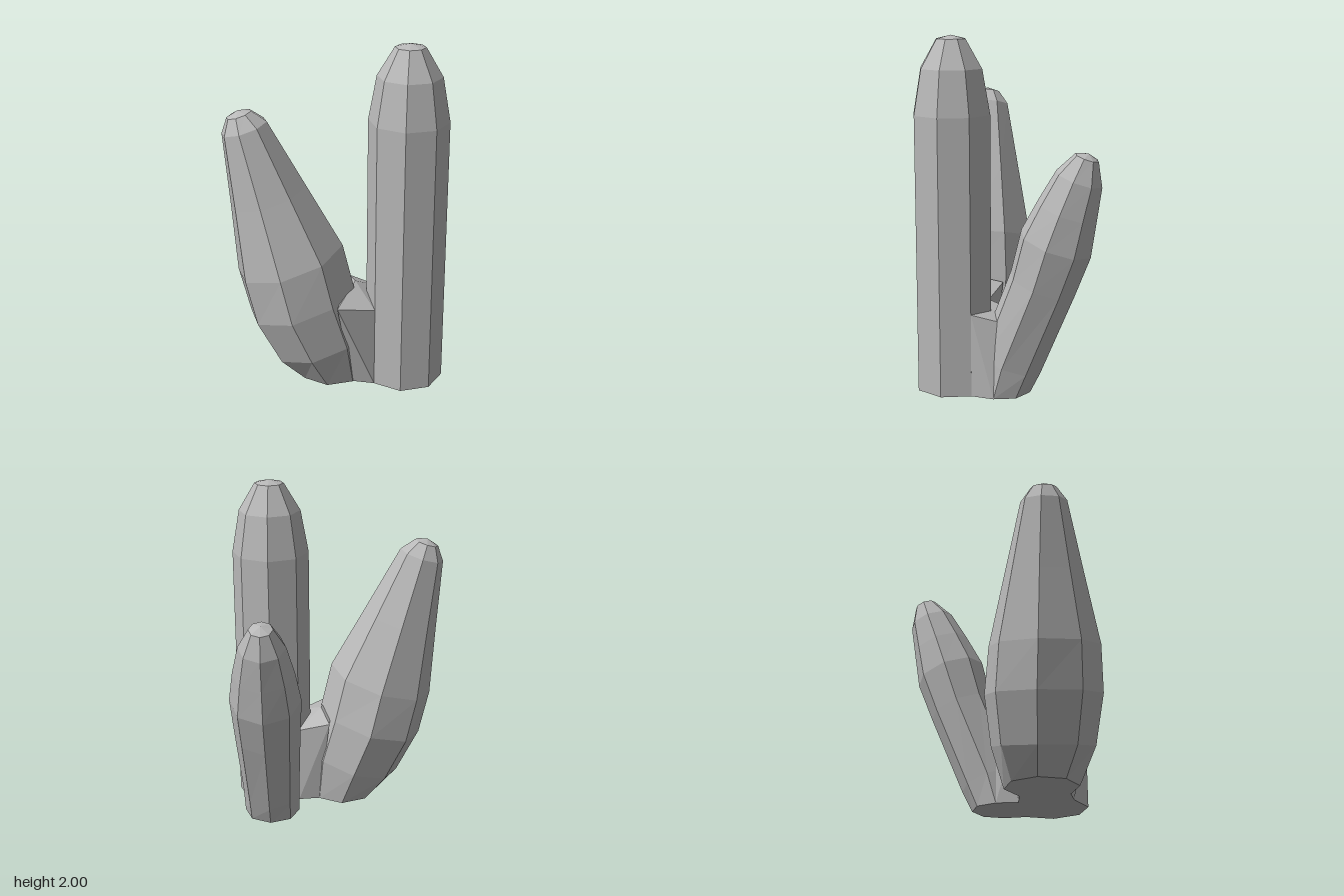
import * as THREE from 'three';
import { ConvexGeometry } from 'three/addons/geometries/ConvexGeometry.js';

const SIDES = 8;

// Eight-sided column lofted through rings [x, y, z, radiusX, radiusZ, tilt].
// slope = rise of a ring per unit of x and z, scaled by each ring's tilt.
function column(name, rings, slope, apex, material) {
  const loops = rings.map(([x, y, z, rx, rz, tilt]) =>
    Array.from({ length: SIDES }, (_, j) => {
      const a = (j / SIDES) * Math.PI * 2;
      const dx = rx * Math.cos(a), dz = rz * Math.sin(a);
      return [x + dx, y + tilt * (slope[0] * dx + slope[1] * dz), z + dz];
    }));
  const base = rings[0].slice(0, 3);
  const top = loops[loops.length - 1];
  const pos = [];
  const tri = (...pts) => pts.forEach((p) => pos.push(...p));
  for (let j = 0; j < SIDES; j++) {
    const k = (j + 1) % SIDES;
    for (let i = 0; i < loops.length - 1; i++) {
      const lo = loops[i], hi = loops[i + 1];
      tri(lo[j], hi[j], lo[k]);
      tri(lo[k], hi[j], hi[k]);
    }
    tri(base, loops[0][j], loops[0][k]);
    tri(apex, top[k], top[j]);
  }
  const geo = new THREE.BufferGeometry();
  geo.setAttribute('position', new THREE.Float32BufferAttribute(pos, 3));
  geo.computeVertexNormals();
  const mesh = new THREE.Mesh(geo, material);
  mesh.name = name;
  return mesh;
}

// Solid web joining two columns
function web(name, points, material) {
  const geo = new ConvexGeometry(points.map((p) => new THREE.Vector3(...p)));
  const mesh = new THREE.Mesh(geo, material);
  mesh.name = name;
  return mesh;
}

export function createModel() {
  const group = new THREE.Group();
  group.name = 'columnCluster';
  const stone = new THREE.MeshStandardMaterial({ color: 0xb8b8b8, flatShading: true });
  stone.name = 'stone grey';

  // Tall upright column
  group.add(column('uprightColumn', [
    [0.4, 0, 0.24, 0.225, 0.225, 0],
    [0.4, 1.57, 0.24, 0.225, 0.225, 0],
    [0.4, 1.82, 0.24, 0.18, 0.18, 0],
    [0.4, 1.98, 0.24, 0.085, 0.085, 0],
  ], [0, 0], [0.4, 2, 0.24], stone));

  // Short column leaning backwards
  group.add(column('backColumn', [
    [0.4, 0, -0.05, 0.165, 0.165, 0],
    [0.4, 0.18, -0.1, 0.17, 0.175, 1],
    [0.4, 0.643, -0.285, 0.192, 0.182, 1],
    [0.4, 0.878, -0.36, 0.205, 0.197, 1],
    [0.4, 1.067, -0.424, 0.175, 0.163, 1],
    [0.4, 1.245, -0.488, 0.133, 0.127, 1],
    [0.4, 1.363, -0.53, 0.068, 0.064, 1],
  ], [0, 0.34], [0.4, 1.385, -0.538], stone));

  // Swollen column leaning sideways
  group.add(column('sideColumn', [
    [-0.027, 0, 0.245, 0.201, 0.21, 0],
    [-0.1, 0.21, 0.265, 0.27, 0.29, 1],
    [-0.2, 0.477, 0.283, 0.305, 0.33, 1],
    [-0.262, 0.74, 0.3, 0.305, 0.314, 1],
    [-0.377, 1.125, 0.317, 0.217, 0.225, 1],
    [-0.498, 1.525, 0.337, 0.128, 0.133, 1],
    [-0.525, 1.6, 0.341, 0.069, 0.073, 1],
  ], [0.3, -0.04], [-0.53, 1.623, 0.342], stone));

  // Web between the upright and back columns
  const back = [];
  for (const s of [-1, 1]) {
    back.push([0.4 + s * 0.159, 0, 0.081], [0.4 + s * 0.159, 0.475, 0.081],
      [0.4 + s * 0.165, 0, -0.05], [0.4 + s * 0.127, 0.44, -0.07]);
  }
  group.add(web('backWeb', back, stone));

  // Web between the upright and side columns
  group.add(web('sideWeb', [
    [0.241, 0, 0.081], [0.241, 0, 0.399], [0.241, 0.477, 0.081], [0.241, 0.477, 0.399],
    [0.115, 0, 0.1], [0.115, 0, 0.39], [0.05, 0.53, 0.057], [0.04, 0.53, 0.515],
    [0.107, 0.573, 0.22],
  ], stone));

  return group;
}
